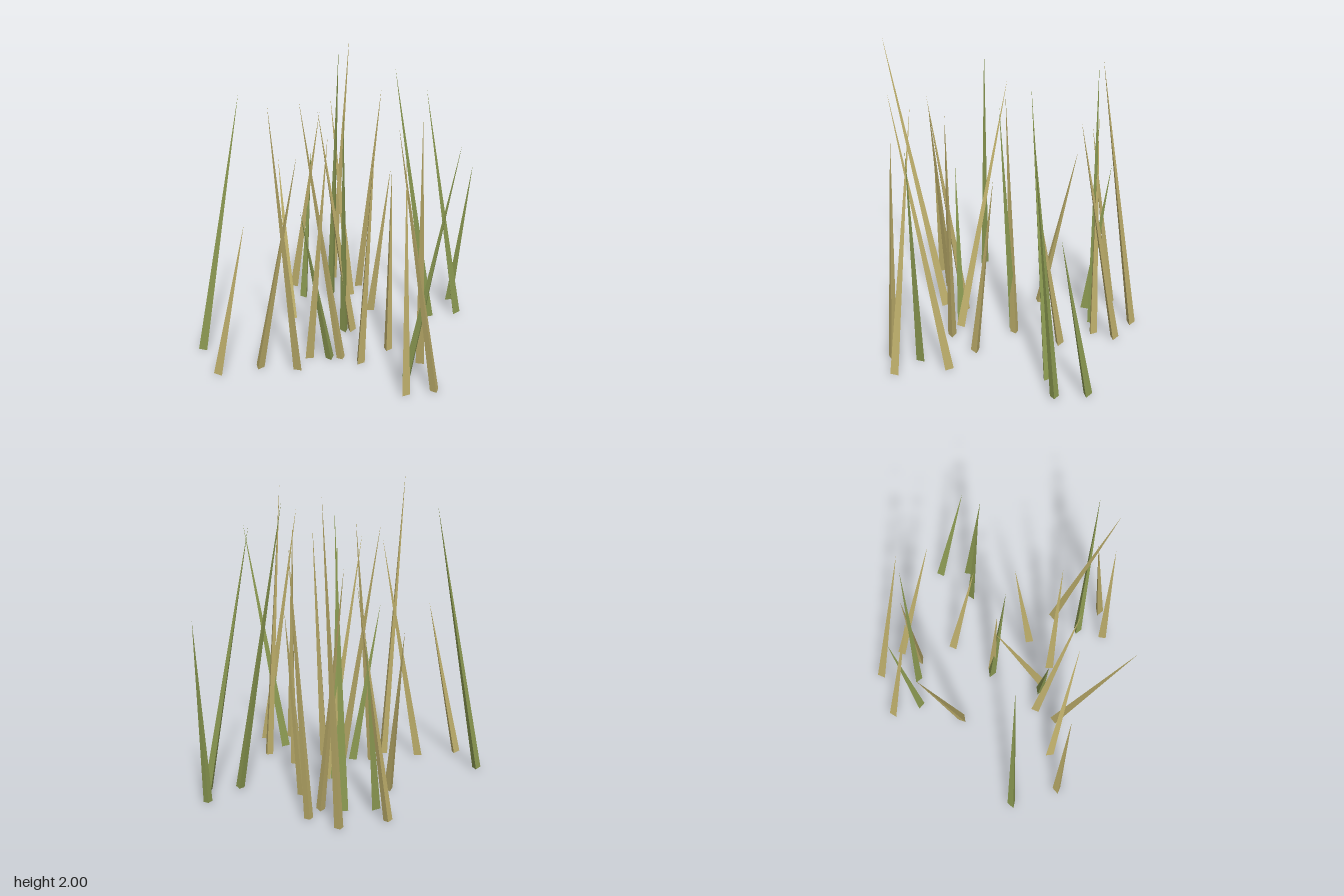
import * as THREE from 'three';

// Each blade: base x, base z, tip x, tip y, tip z, twist in degrees
const GREEN = [
  [0.643, -0.775, 0.80, 1.17, -0.62, 0],
  [0.733, -0.582, 0.51, 1.77, -0.355, 105],
  [0.555, -0.48, 0.31, 1.92, -0.285, 11],
  [-0.405, -0.503, -0.39, 1.16, -0.66, 48],
  [-0.224, -0.60, -0.165, 1.93, -0.595, 60],
  [0.022, -0.10, 0.04, 1.66, 0.005, 60],
  [0.588, 0.38, 0.87, 1.66, 0.32, 60],
  [0.03, 0.285, -0.14, 1.13, 0.38, 60],
  [-0.847, 0.412, -0.56, 1.85, 0.305, 20],
];
const STRAW = [
  [-0.293, -0.865, -0.10, 2.0, -0.635, 0],
  [-0.067, -0.795, 0.15, 1.67, -0.565, 0],
  [0.118, -0.451, 0.285, 1.20, -0.32, 0],
  [-0.539, -0.657, -0.29, 1.47, -0.54, 10],
  [-0.083, -0.638, -0.225, 1.57, -0.595, 12],
  [-0.388, -0.165, -0.55, 1.16, -0.385, 0],
  [0.07, -0.118, -0.13, 1.68, 0.015, 90],
  [0.38, 0.067, 0.355, 1.29, -0.055, 90],
  [0.103, 0.265, -0.25, 1.75, 0.04, 60],
  [0.24, 0.285, 0.322, 1.67, 0.275, -20],
  [0.632, 0.167, 0.665, 1.92, 0.507, 26],
  [0.797, 0.482, 0.505, 1.78, 0.43, 60],
  [0.62, 0.575, 0.58, 1.62, 0.535, 108],
  [-0.112, 0.311, 0.08, 1.70, 0.49, 0],
  [-0.138, 0.472, -0.157, 2.0, 0.89, 30],
  [-0.392, 0.528, -0.10, 1.57, 0.55, 90],
  [-0.627, 0.677, -0.42, 1.12, 0.645, 30],
];
const RADIUS = 0.033;
const UP = new THREE.Vector3(0, 1, 0);

// A slender three-sided spike leaning from its base to its tip
function makeBlade([bx, bz, tx, ty, tz, twist], material, name) {
  const base = new THREE.Vector3(bx, 0.01, bz);
  const lean = new THREE.Vector3(tx, ty, tz).sub(base);
  const height = lean.length();
  const geometry = new THREE.ConeGeometry(RADIUS, height, 3);
  geometry.translate(0, height / 2, 0);
  geometry.rotateY(THREE.MathUtils.degToRad(90 - twist));
  const blade = new THREE.Mesh(geometry, material);
  blade.position.copy(base);
  blade.quaternion.setFromUnitVectors(UP, lean.normalize());
  blade.name = name;
  return blade;
}

export function createModel() {
  const green = new THREE.MeshStandardMaterial({ color: 0x8c9a52, flatShading: true });
  green.name = 'grass green';
  const straw = new THREE.MeshStandardMaterial({ color: 0xbdae6b, flatShading: true });
  straw.name = 'dry straw';

  const model = new THREE.Group();
  model.name = 'grassTuft';
  GREEN.forEach((row, i) => model.add(makeBlade(row, green, `greenBlade${i + 1}`)));
  STRAW.forEach((row, i) => model.add(makeBlade(row, straw, `dryBlade${i + 1}`)));
  return model;
}
